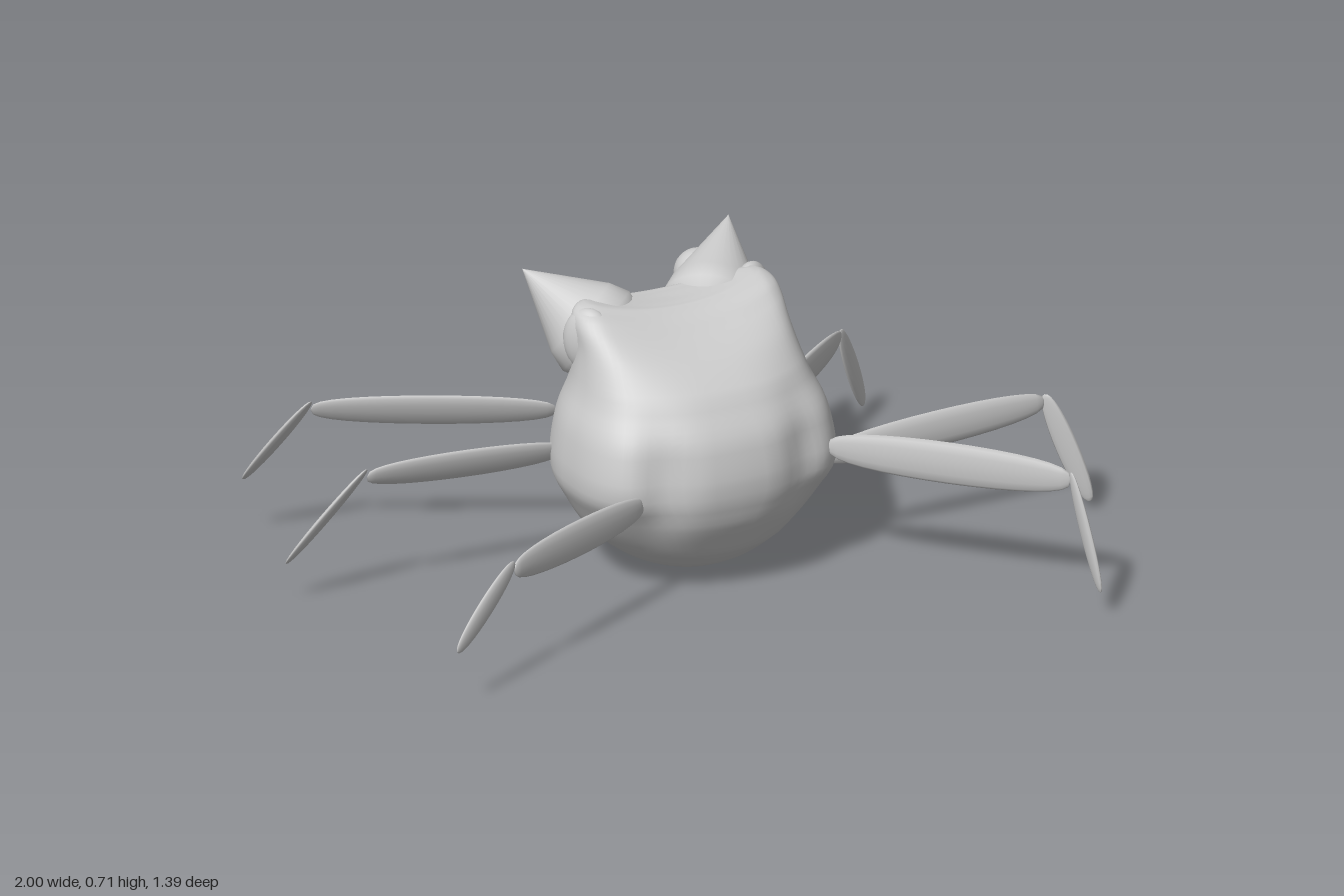
import * as THREE from 'three';

const V = (a) => new THREE.Vector3(...a);
const material = new THREE.MeshStandardMaterial({ color: 0xcccccc });

function add(parent, name, geometry) {
  const mesh = new THREE.Mesh(geometry, material);
  mesh.name = name;
  parent.add(mesh);
  return mesh;
}

// Rounded body: stacked rings [height, half width, front z, back z, squareness]
function bodyGeometry() {
  const rows = [
    [0.0, 0.0, -0.08, -0.08, 2], [0.01, 0.085, 0.0, -0.16, 2],
    [0.045, 0.168, 0.075, -0.23, 2], [0.1, 0.243, 0.138, -0.288, 2.05],
    [0.2, 0.314, 0.19, -0.348, 2.4], [0.3, 0.343, 0.205, -0.372, 2.9],
    [0.4, 0.328, 0.185, -0.36, 2.8], [0.5, 0.29, 0.122, -0.325, 2.6],
    [0.58, 0.275, 0.037, -0.29, 2.6], [0.64, 0.274, -0.05, -0.27, 2.6],
    [0.673, 0.25, -0.11, -0.25, 2.5], [0.682, 0.14, -0.14, -0.22, 2.2],
    [0.682, 0.0, -0.18, -0.18, 2],
  ];
  const outline = new THREE.CatmullRomCurve3(rows.map((r) => V([r[0], r[1], r[4]])));
  const depth = new THREE.CatmullRomCurve3(rows.map((r) => V([r[2], r[3], 0])));
  const rings = 60, sides = 64, pos = [], index = [];
  const power = (v, p) => Math.sign(v) * Math.abs(v) ** (2 / p);
  const bell = (v, centre, width) => Math.exp(-(((v - centre) / width) ** 2));
  for (let i = 0; i <= rings; i++) {
    const o = outline.getPoint(i / rings), d = depth.getPoint(i / rings);
    const middle = (d.x + d.y) / 2, half = (d.x - d.y) / 2;
    for (let j = 0; j < sides; j++) {
      const a = (j / sides) * Math.PI * 2, front = Math.cos(a);
      const p = front > 0 ? o.z : 2 + (o.z - 2) * 0.15;
      const x = o.y * power(Math.sin(a), p);
      // the crown dips between the two raised corners
      const dip = 0.034 * Math.max(0, 1 - (x / 0.23) ** 2) * THREE.MathUtils.smoothstep(o.x, 0.5, 0.67);
      // shallow hollows beside the front bulge set off the hips
      const hollow = front > 0 ? 0.03 * bell(Math.abs(x), 0.19, 0.06) * bell(o.x, 0.32, 0.14) : 0;
      pos.push(x, o.x - dip, middle + half * power(front, p) - hollow);
      if (i < rings) {
        const k = (j + 1) % sides, q = i * sides, n = q + sides;
        index.push(q + j, q + k, n + k, q + j, n + k, n + j);
      }
    }
  }
  const g = new THREE.BufferGeometry();
  g.setAttribute('position', new THREE.Float32BufferAttribute(pos, 3));
  g.setIndex(index);
  g.computeVertexNormals();
  return g;
}

// Flat blade with blunt ends running from one point to another
function blade(parent, name, from, to, height, thickness, bluntness, twist) {
  const a = V(from), b = V(to), length = a.distanceTo(b), profile = [];
  for (let i = 0; i <= 16; i++) {
    const t = -Math.cos((i / 16) * Math.PI);
    profile.push(new THREE.Vector2(Math.max(0, 1 - t * t) ** bluntness, t));
  }
  const g = new THREE.LatheGeometry(profile, 12);
  g.scale(thickness / 2, length / 2, height / 2);
  g.rotateY(twist);
  const y = b.clone().sub(a).normalize();
  const x = new THREE.Vector3(0, 1, 0).cross(y).normalize();
  g.applyMatrix4(new THREE.Matrix4().makeBasis(x, y, x.clone().cross(y)));
  add(parent, name, g).position.copy(a.add(b).multiplyScalar(0.5));
}

// Pointed eye socket with a rounded root
function socket(parent, base, tip) {
  const a = V(base), axis = V(tip).sub(a), length = axis.length();
  const profile = [[0, -0.09], [0.065, -0.08], [0.11, -0.05], [0.126, 0], [0.11, 0.05], [0, length]];
  const g = new THREE.LatheGeometry(profile.map((p) => new THREE.Vector2(...p)), 32);
  const mesh = add(parent, 'eyeSocket', g);
  mesh.position.copy(a);
  mesh.quaternion.setFromUnitVectors(new THREE.Vector3(0, 1, 0), axis.normalize());
}

export function createModel() {
  const model = new THREE.Group();
  model.name = 'crawler';
  add(model, 'body', bodyGeometry());

  // Legs: hip, knee, tip, upper height, upper twist, lower twist
  const legs = [
    ['leftFrontLeg', [0.27, 0.32, 0.13], [0.705, 0.32, 0.575], [0.73, 0.06, 0.685], 0.11, 0, 0.25],
    ['leftMiddleLeg', [0.3, 0.255, 0.045], [0.9, 0.28, 0.045], [0.995, 0.02, 0.1], 0.095, 0, 0.23],
    ['leftBackLeg', [0.28, 0.245, -0.26], [0.67, 0.24, -0.6], [0.78, 0.008, -0.69], 0.108, 0.2, 0],
    ['rightFrontLeg', [-0.235, 0.265, 0.14], [-0.71, 0.29, 0.39], [-0.915, 0.15, 0.49], 0.098, 0, 0],
    ['rightMiddleLeg', [-0.29, 0.3, -0.18], [-0.82, 0.33, -0.187], [-1, 0.105, -0.265], 0.09, -0.35, -0.98],
    ['rightBackLeg', [-0.26, 0.36, -0.28], [-0.8, 0.37, -0.53], [-0.915, 0.155, -0.665], 0.1, -0.4, -1.25],
  ];
  for (const [name, hip, knee, tip, height, upperTwist, lowerTwist] of legs) {
    const leg = new THREE.Group();
    leg.name = name;
    blade(leg, 'upperLeg', hip, knee, height, 0.026, 0.32, upperTwist);
    const top = [knee[0], knee[1] + 0.02, knee[2]];
    blade(leg, 'lowerLeg', top, tip, 0.06, 0.018, 0.42, lowerTwist);
    model.add(leg);
  }

  // Eyes: socket root, socket tip, eyeball, brow centre, brow heading
  const eyes = [
    ['leftEye', [0.148, 0.57, -0.25], [0.283, 0.71, -0.432], [0.175, 0.6, -0.38], [0.232, 0.595, -0.212], 0.62],
    ['rightEye', [-0.175, 0.57, -0.235], [-0.31, 0.71, -0.365], [-0.21, 0.605, -0.342], [-0.236, 0.59, -0.15], -0.9],
  ];
  for (const [name, base, tip, ball, brow, heading] of eyes) {
    const eye = new THREE.Group();
    eye.name = name;
    socket(eye, base, tip);
    add(eye, 'eyeball', new THREE.SphereGeometry(0.06, 28, 18)).position.set(...ball);
    const lobe = add(eye, 'brow', new THREE.SphereGeometry(1, 24, 16));
    lobe.scale.set(0.068, 0.085, 0.04);
    lobe.position.set(...brow);
    lobe.rotation.y = heading;
    model.add(eye);
  }
  return model;
}
